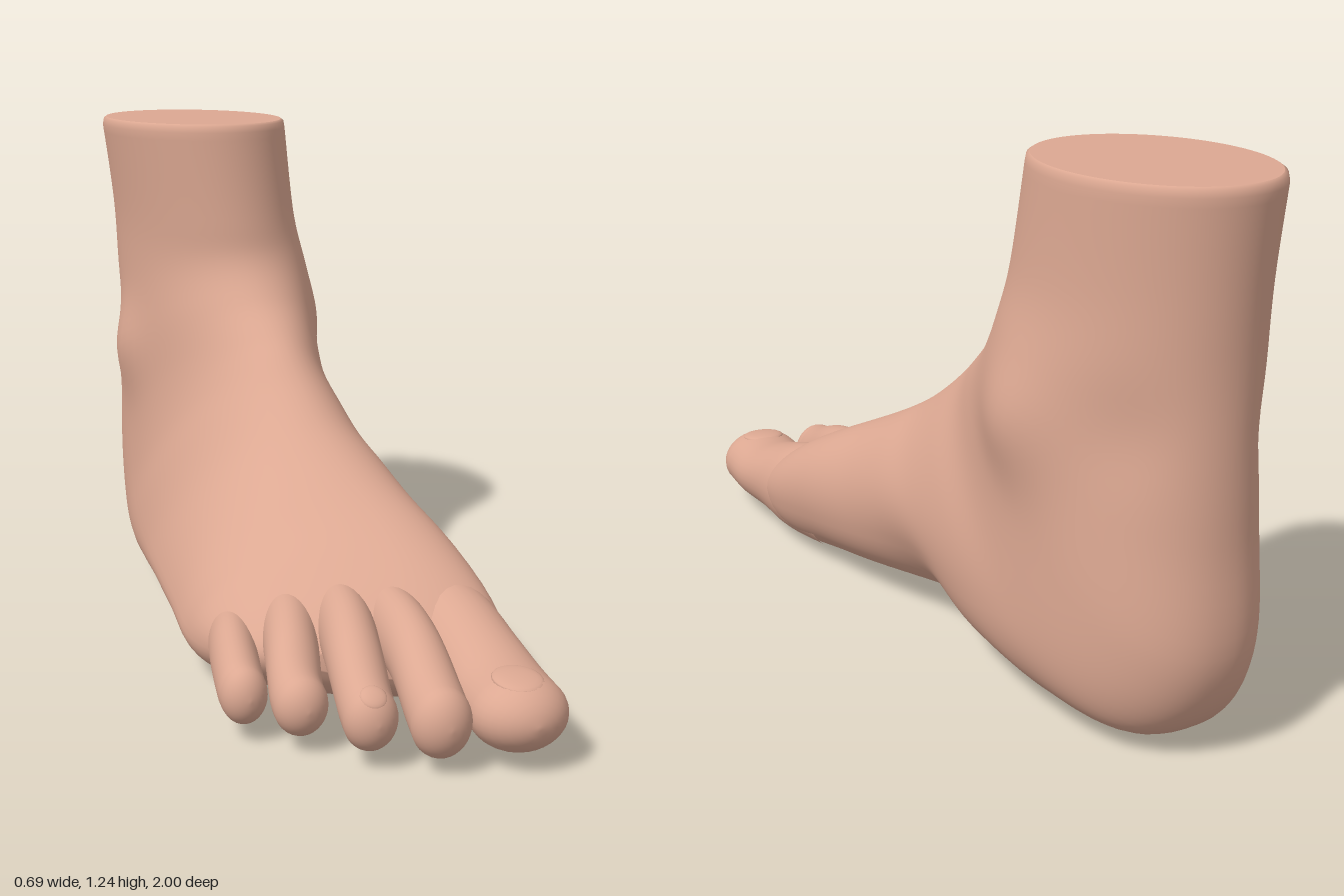
import * as THREE from 'three';

const skin = new THREE.MeshStandardMaterial({ color: 0xdca892 });
skin.name = 'skin';

// Catmull-Rom interpolation of every column in a table of stations
function refine(rows, steps) {
  const out = [];
  const at = i => rows[Math.min(Math.max(i, 0), rows.length - 1)];
  for (let i = 0; i < rows.length - 1; i++) {
    for (let s = 0; s < steps; s++) {
      const t = s / steps;
      out.push(rows[i].map((p1, k) => {
        const p0 = at(i - 1)[k], p2 = at(i + 1)[k], p3 = at(i + 2)[k];
        return p1 + 0.5 * t * (p2 - p0 + t * (2 * p0 - 5 * p1 + 4 * p2 - p3 + t * (3 * (p1 - p2) + p3 - p0)));
      }));
    }
  }
  out.push(rows[rows.length - 1]);
  return out;
}

// Smooth skin over closed rings of [x, y, z], closed at the far end
function loft(rings) {
  const n = rings[0].length, last = rings.length - 1, index = [];
  const points = rings.flat();
  const centre = [0, 1, 2].map(k => rings[last].reduce((sum, p) => sum + p[k], 0) / n);
  points.push(centre);
  for (let i = 0; i < last; i++) {
    for (let j = 0; j < n; j++) {
      const a = i * n + j, b = i * n + (j + 1) % n;
      index.push(a, a + n, b, b, a + n, b + n);
    }
  }
  for (let j = 0; j < n; j++) index.push(points.length - 1, last * n + (j + 1) % n, last * n + j);
  const g = new THREE.BufferGeometry();
  g.setAttribute('position', new THREE.Float32BufferAttribute(points.flat(), 3));
  g.setIndex(index);
  g.computeVertexNormals();
  return g;
}

// Sections fanning from the shin round the heel to the ball of the foot:
// front z, y | back z, y | midline x at front, back | left x, its depth | right x, its depth | back roundness
const sections = [
  [-0.378, 1.22, -0.992, 1.22, 0.005, -0.025, -0.243, 0.5, 0.223, 0.5, 1],
  [-0.358, 1.0, -0.978, 1.0, 0.04, -0.02, -0.212, 0.5, 0.232, 0.5, 1],
  [-0.34, 0.89, -0.972, 0.78, 0.06, -0.02, -0.202, 0.5, 0.253, 0.5, 1],
  [-0.28, 0.8, -0.98, 0.5, 0.065, -0.01, -0.197, 0.5, 0.262, 0.5, 0.95],
  [-0.2, 0.73, -0.99, 0.22, 0.07, 0, -0.197, 0.55, 0.262, 0.55, 0.88],
  [-0.14, 0.68, -0.885, 0.045, 0.07, 0.01, -0.207, 0.6, 0.267, 0.6, 0.8],
  [-0.07, 0.62, -0.68, 0.015, 0.075, 0.01, -0.232, 0.65, 0.278, 0.6, 0.78],
  [0.02, 0.555, -0.45, 0.035, 0.08, 0, -0.253, 0.7, 0.282, 0.6, 0.76],
  [0.1, 0.505, -0.22, 0.065, 0.09, -0.01, -0.278, 0.74, 0.288, 0.6, 0.76],
  [0.2, 0.45, 0.02, 0.05, 0.1, -0.01, -0.296, 0.74, 0.298, 0.6, 0.78],
  [0.31, 0.39, 0.25, 0.02, 0.115, 0.02, -0.308, 0.7, 0.325, 0.58, 0.8],
  [0.42, 0.33, 0.42, 0.0, 0.11, 0.06, -0.307, 0.6, 0.337, 0.55, 0.82],
  [0.52, 0.265, 0.53, 0.025, 0.09, 0.08, -0.28, 0.56, 0.315, 0.52, 0.9],
];
const frontEnd = [
  [0.585, 0.21, 0.59, 0.06, 0.07, 0.08, -0.23, 0.5, 0.265, 0.5, 1],
  [0.62, 0.17, 0.62, 0.1, 0.07, 0.08, -0.13, 0.5, 0.18, 0.5, 1],
];

// Sideways swellings and hollows: x, y, z, radius, push along x
const swellings = [
  [0.27, 0.7, -0.58, 0.18, 0.035],   // inner ankle bone
  [-0.21, 0.62, -0.68, 0.15, -0.03], // outer ankle bone
  [0.18, 0.72, -0.87, 0.16, -0.015], // hollows beside the heel tendon
  [-0.16, 0.7, -0.87, 0.16, 0.015],
  [0.26, 0.1, -0.12, 0.22, -0.045],  // arch
];

function sectionRing([fz, fy, bz, by, cf, cb, xl, tl, xr, tr, p]) {
  const ring = [], n = 72;
  const midline = t => cf + (cb - cf) * t;
  for (let j = 0; j < n; j++) {
    const a = (j / n) * Math.PI * 2, s = Math.abs(Math.sin(a)), c = Math.abs(Math.cos(a));
    const right = j <= n / 2, front = Math.cos(a) >= 0;
    const side = right ? xr : xl, depth = right ? tr : tl;
    const e = front ? 1 : p;
    const t = front ? depth * (1 - c) : depth + (1 - depth) * Math.pow(c, e);
    let x = midline(t) + (side - midline(depth)) * Math.pow(s, e);
    const y = fy + (by - fy) * t;
    let z = fz + (bz - fz) * t;
    let push = 0;
    for (const [sx, sy, sz, r, amount] of swellings) {
      const d2 = (x - sx) ** 2 + (y - sy) ** 2 + (z - sz) ** 2;
      push += amount * Math.exp(-2 * d2 / (r * r));
    }
    // the toe line slants back towards the little toe
    z += 0.4 * (x - 0.05) * THREE.MathUtils.smoothstep(z, 0, 0.5);
    x += push;
    ring.push([x, y, z]);
  }
  return ring;
}

// Toe stations: x, y, z, half width, half height; the tip is a dome
const toes = {
  bigToe: { tip: 0.1, path: [
    [0.21, 0.16, 0.38, 0.1, 0.125], [0.22, 0.15, 0.54, 0.112, 0.125], [0.222, 0.135, 0.68, 0.106, 0.1],
    [0.217, 0.117, 0.8, 0.109, 0.084], [0.207, 0.113, 0.9, 0.108, 0.082]] },
  secondToe: { tip: 0.06, path: [
    [0.09, 0.2, 0.4, 0.06, 0.08], [0.08, 0.19, 0.57, 0.066, 0.084], [0.065, 0.174, 0.7, 0.066, 0.077],
    [0.045, 0.13, 0.83, 0.068, 0.075], [0.036, 0.11, 0.89, 0.067, 0.078]] },
  middleToe: { tip: 0.055, path: [
    [0, 0.2, 0.36, 0.06, 0.08], [-0.03, 0.19, 0.52, 0.066, 0.084], [-0.06, 0.17, 0.65, 0.065, 0.077],
    [-0.085, 0.125, 0.77, 0.062, 0.072], [-0.093, 0.108, 0.82, 0.06, 0.07]] },
  fourthToe: { tip: 0.055, path: [
    [-0.1, 0.175, 0.3, 0.06, 0.08], [-0.135, 0.17, 0.44, 0.065, 0.082], [-0.17, 0.153, 0.56, 0.063, 0.075],
    [-0.194, 0.115, 0.65, 0.061, 0.071], [-0.199, 0.102, 0.69, 0.06, 0.068]] },
  littleToe: { tip: 0.05, path: [
    [-0.21, 0.13, 0.24, 0.055, 0.07], [-0.25, 0.13, 0.38, 0.056, 0.075], [-0.277, 0.122, 0.49, 0.055, 0.071],
    [-0.293, 0.11, 0.57, 0.054, 0.068], [-0.296, 0.104, 0.6, 0.052, 0.066]] },
};

// Nails: x, y, z, half width, half length, tilt
const nails = {
  bigToeNail: [0.205, 0.184, 0.9, 0.055, 0.06, 0.12],
  middleToeNail: [-0.094, 0.16, 0.84, 0.03, 0.03, 0.6],
};

function toeGeometry({ path, tip }) {
  const stations = refine(path, 6);
  const [x, y, z, rx, ry] = path[path.length - 1];
  for (let i = 1; i <= 8; i++) {
    const a = (i / 8.3) * Math.PI / 2;
    stations.push([x, y, z + tip * Math.sin(a), rx * Math.cos(a), ry * Math.cos(a)]);
  }
  return loft(stations.map(([cx, cy, cz, w, h]) => Array.from({ length: 32 }, (_, j) => {
    const a = (j / 32) * Math.PI * 2;
    return [cx + w * Math.sin(a), cy + h * Math.cos(a), cz];
  })));
}

export function createModel() {
  const model = new THREE.Group();
  model.name = 'foot';
  const add = (name, geometry) => {
    const mesh = new THREE.Mesh(geometry, skin);
    mesh.name = name;
    model.add(mesh);
    return mesh;
  };

  // Ankle, heel and instep, with a small rounded rim and a flat top at the cut
  const rings = refine([...sections, ...frontEnd], 7).map(sectionRing);
  const rim = (scale, y) => rings[0].map(([x, , z]) => [-0.01 + (x + 0.01) * scale, y, -0.685 + (z + 0.685) * scale]);
  const edge = rim(0.96, 1.241);
  add('footBody', loft([edge, rim(0.988, 1.236), ...rings]));
  add('ankleTop', loft([[...edge].reverse()]));

  // Toes and nails
  for (const [name, toe] of Object.entries(toes)) add(name, toeGeometry(toe));
  for (const [name, [x, y, z, w, l, tilt]] of Object.entries(nails)) {
    const nail = add(name, new THREE.SphereGeometry(1, 24, 12));
    nail.scale.set(w, 0.012, l);
    nail.rotation.x = tilt;
    nail.position.set(x, y, z);
  }
  return model;
}
